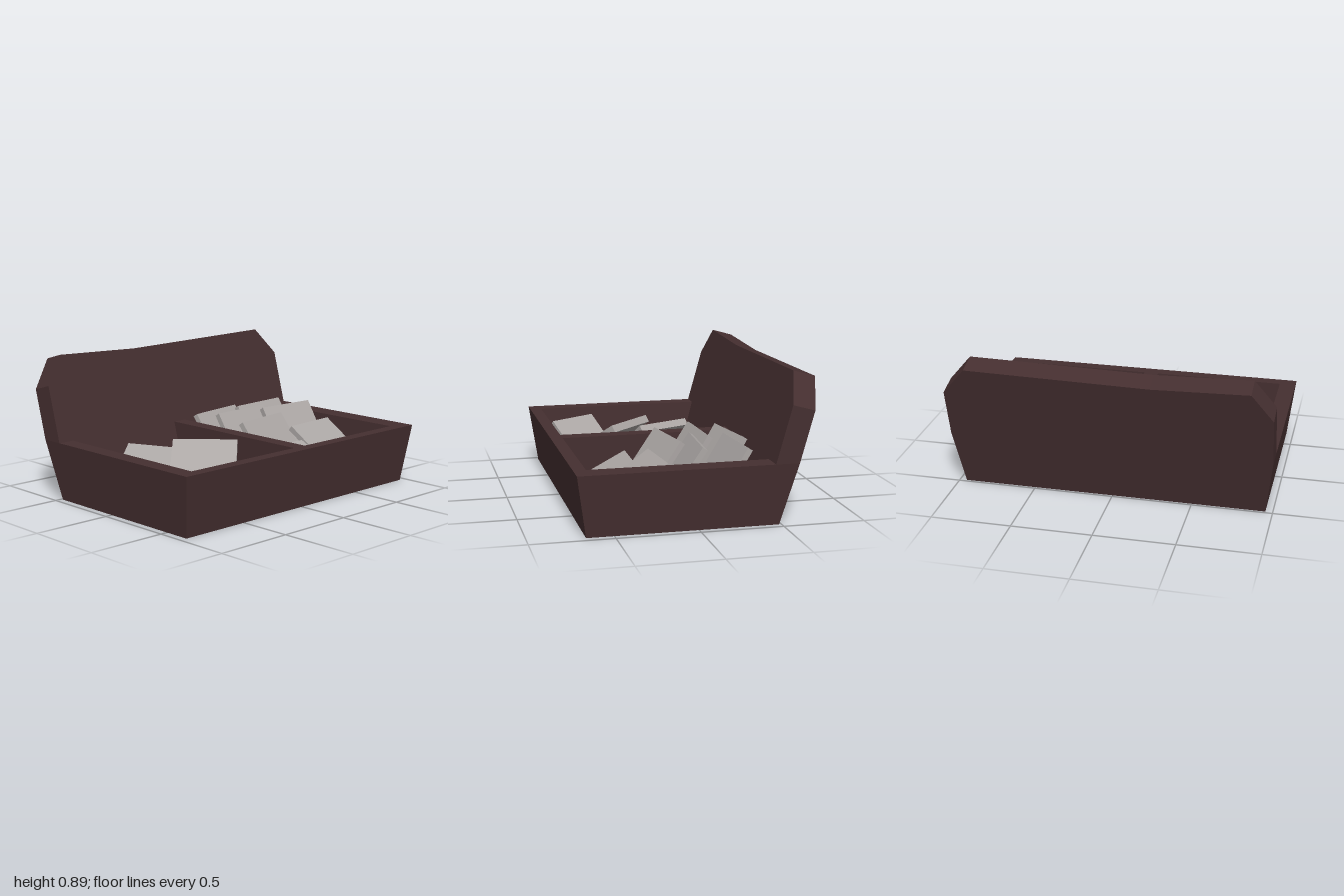
import * as THREE from 'three';

const wood = new THREE.MeshStandardMaterial({ color: 0x452f30 });
wood.name = 'dark wood';
const stone = new THREE.MeshStandardMaterial({ color: 0xaca7a5 });
stone.name = 'pale grey';

// Box whose bottom and top rectangles [x0, x1, z0, z1] may differ
function taperedBox(name, y0, bottom, y1, top) {
  const geo = new THREE.BoxGeometry(1, 1, 1).toNonIndexed();
  const p = geo.attributes.position;
  for (let i = 0; i < p.count; i++) {
    const up = p.getY(i) > 0;
    const r = up ? top : bottom;
    p.setXYZ(i, p.getX(i) > 0 ? r[1] : r[0], up ? y1 : y0, p.getZ(i) > 0 ? r[3] : r[2]);
  }
  geo.computeVertexNormals();
  const mesh = new THREE.Mesh(geo, wood);
  mesh.name = name;
  return mesh;
}

// Leaning back panel: an extruded outline sheared along the slope
function backPanel() {
  const outline = [
    [-0.955, 0], [0.955, 0], [1, 0.375], [1, 0.72], [0.85, 0.895],
    [-0.28, 0.875], [-0.87, 0.895], [-1, 0.72], [-1, 0.375],
  ].map(([x, y]) => new THREE.Vector2(x, y));
  const geo = new THREE.ExtrudeGeometry(new THREE.Shape(outline), { depth: 1, bevelEnabled: false });
  const p = geo.attributes.position;
  for (let i = 0; i < p.count; i++) {
    const back = p.getZ(i) < 0.5;
    const y = p.getY(i) - (back && p.getY(i) > 0.5 ? 0.038 : 0);
    p.setY(i, y);
    p.setZ(i, (back ? -0.485 : -0.34) - 0.28 * y);
  }
  geo.computeVertexNormals();
  const mesh = new THREE.Mesh(geo, wood);
  mesh.name = 'backPanel';
  return mesh;
}

// Slab hung from the middle of its raised edge, sloping down along its yaw direction
function slab(name, [x, y, z, yaw, tilt, width, length], thickness) {
  const geo = new THREE.BoxGeometry(width, thickness, length);
  geo.translate(0, -thickness / 2, length / 2);
  const mesh = new THREE.Mesh(geo, stone);
  mesh.name = name;
  mesh.position.set(x, y, z);
  mesh.rotation.set(THREE.MathUtils.degToRad(tilt), yaw, 0, 'YXZ');
  return mesh;
}

export function createModel() {
  const model = new THREE.Group();
  model.name = 'slabTray';

  // Tray
  const tray = new THREE.Group();
  tray.name = 'tray';
  const rim = 0.375;
  tray.add(
    taperedBox('floor', 0, [-0.9, 0.9, -0.36, 0.65], 0.03, [-0.9, 0.9, -0.36, 0.65]),
    taperedBox('frontWall', 0, [-0.955, 0.955, 0.645, 0.665], rim, [-1, 1, 0.645, 0.72]),
    taperedBox('rightWall', 0, [-0.955, -0.855, -0.34, 0.645], rim, [-1, -0.895, -0.445, 0.645]),
    taperedBox('leftWall', 0, [0.83, 0.955, -0.34, 0.645], rim, [0.865, 1, -0.445, 0.645]),
    taperedBox('divider', 0, [-0.055, 0.04, -0.34, 0.645], rim, [-0.055, 0.04, -0.445, 0.645]),
    backPanel(),
  );
  model.add(tray);

  // Stacked slabs in the left pocket: x, y, z, yaw, tilt, width, length
  const stacked = [
    [0.265, 0.425, -0.375, 0.154, 58, 0.42, 0.4],
    [0.61, 0.44, -0.315, 0.07, 58, 0.43, 0.42],
    [0.295, 0.452, -0.165, 0.035, 57, 0.43, 0.42],
    [0.62, 0.458, -0.065, -0.06, 56, 0.42, 0.42],
    [0.295, 0.425, 0.03, 0.15, 54, 0.43, 0.42],
    [0.61, 0.37, 0.165, 0.08, 35, 0.39, 0.42],
    [0.3, 0.29, 0.265, -0.025, 28, 0.4, 0.42],
  ];
  stacked.forEach((s, i) => model.add(slab('stackedSlab' + (i + 1), s, 0.035)));

  // Loose slabs in the right pocket
  const loose = [
    [-0.485, 0.33, -0.13, -1.15, 38, 0.39, 0.41],
    [-0.25, 0.2, -0.33, -0.36, 15, 0.34, 0.41],
    [-0.77, 0.33, 0.445, 2.11, 40, 0.35, 0.4],
    [-0.165, 0.18, 0.255, -1.16, 18, 0.41, 0.37],
    [-0.32, 0.39, 0.14, -0.81, 33, 0.4, 0.42],
  ];
  loose.forEach((s, i) => model.add(slab('looseSlab' + (i + 1), s, 0.05)));

  return model;
}
